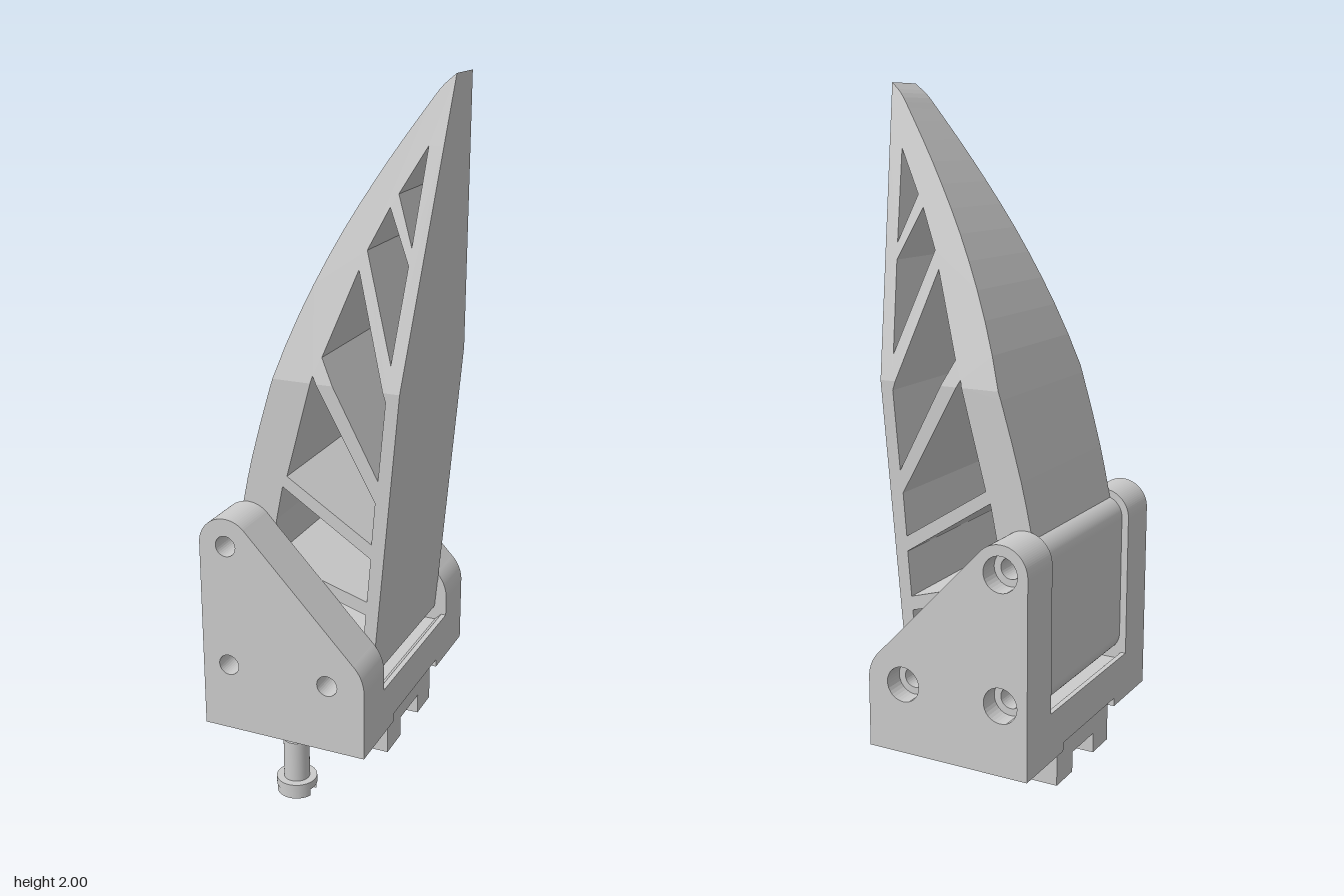
import * as THREE from 'three';
import { mergeGeometries } from 'three/addons/utils/BufferGeometryUtils.js';

const material = new THREE.MeshStandardMaterial({ color: 0xcccccc });
const PINS = [[-0.22, 0.765], [-0.22, 0.405], [0.08, 0.405]];
const KNEE = 1.21; // height where the finger starts to taper

const toShape = (pts) => new THREE.Shape(pts.map(([x, y]) => new THREE.Vector2(x, y)));

function addPins(shape, r) {
  for (const [x, y] of PINS) shape.holes.push(new THREE.Path().absarc(x, y, r, 0, Math.PI * 2, true));
  return shape;
}

// extrude a shape between two z values
function slab(shape, z0, z1) {
  const g = new THREE.ExtrudeGeometry(shape, { depth: z1 - z0, bevelEnabled: false, curveSegments: 16 });
  return g.translate(0, 0, z0);
}

function mesh(name, geometry, parent) {
  const m = new THREE.Mesh(geometry, material);
  m.name = name;
  parent.add(m);
  return m;
}

// keep the part of a polygon above (side 1) or below (side -1) the knee
function clip(pts, side) {
  const out = [];
  pts.forEach((a, i) => {
    const b = pts[(i + 1) % pts.length];
    const da = (a[1] - KNEE) * side, db = (b[1] - KNEE) * side;
    if (da >= 0) out.push(a);
    if (da * db < 0) {
      const t = da / (da - db);
      out.push([a[0] + (b[0] - a[0]) * t, KNEE]);
    }
  });
  return out;
}

// extrude across the finger width, narrowing above the knee
function tapered(shape) {
  const g = slab(shape, -1, 1), p = g.attributes.position;
  for (let i = 0; i < p.count; i++) {
    const half = 0.249 - 0.189 * Math.max(0, (p.getY(i) - KNEE) / (2 - KNEE));
    p.setZ(i, p.getZ(i) * half);
  }
  g.computeVertexNormals();
  return g;
}

function fingerGeometry() {
  const backCurve = new THREE.CatmullRomCurve3(
    [[-0.245, 0.8], [-0.204, 0.984], [-0.098, 1.328], [0.008, 1.566], [0.124, 1.767], [0.23, 1.926], [0.262, 1.97], [0.295, 2]]
      .map(([x, y]) => new THREE.Vector3(x, y, 0)));
  const back = backCurve.getPoints(22).map((p) => [p.x, p.y]);
  // inner edges of the two walls; consecutive pairs are strut ends
  const spineIn = [[0.24, 1.825], [0.172, 1.704], [0.152, 1.67], [0.1, 1.56], [0.082, 1.51], [0, 1.28],
    [-0.022, 1.23], [-0.1, 0.937], [-0.114, 0.905], [-0.145, 0.69], [-0.15, 0.65]];
  const frontIn = [[0.24, 1.825], [0.221, 1.575], [0.217, 1.53], [0.195, 1.28], [0.188, 1.185], [0.168, 0.963],
    [0.16, 0.9], [0.15, 0.778], [0.148, 0.735], [0.137, 0.605], [0.134, 0.565], [0.125, 0.46]];

  const polygons = [
    [...back, [0.28, 1.825], ...spineIn.slice(0, 9), [-0.135, 0.8]], // curved spine and tip
    [[0.28, 1.825], ...frontIn, [0.162, 0.46]], // flat front wall
  ];
  for (let i = 1; i < 10; i += 2) polygons.push([spineIn[i], spineIn[i + 1], frontIn[i + 1], frontIn[i]]); // struts

  const parts = [];
  for (const poly of polygons) {
    for (const side of [1, -1]) {
      const piece = clip(poly, side);
      if (piece.length > 2) parts.push(tapered(toShape(piece)));
    }
  }

  // foot with the three pin holes
  const foot = new THREE.Shape();
  foot.moveTo(-0.28, 0.405);
  foot.lineTo(-0.28, 0.765);
  foot.absarc(-0.22, 0.765, 0.06, Math.PI, Math.PI / 2, true);
  foot.lineTo(-0.133, 0.815);
  foot.lineTo(-0.145, 0.69);
  foot.lineTo(-0.155, 0.47);
  foot.lineTo(0.126, 0.47);
  foot.lineTo(0.162, 0.47);
  foot.lineTo(0.153, 0.37);
  foot.lineTo(0.13, 0.345);
  foot.lineTo(-0.22, 0.345);
  foot.absarc(-0.22, 0.405, 0.06, -Math.PI / 2, -Math.PI, true);
  parts.push(tapered(addPins(foot, 0.03)));
  return mergeGeometries(parts);
}

// side plate outline with rounded top and front corners
function plateShape(holeRadius) {
  const s = new THREE.Shape();
  s.moveTo(-0.3, 0.205);
  s.lineTo(0.19, 0.205);
  s.lineTo(0.19, 0.405);
  s.absarc(0.08, 0.405, 0.11, 0, 0.8, false);
  s.absarc(-0.22, 0.765, 0.08, 0.8, Math.PI, false);
  return addPins(s, holeRadius);
}

// cross-section in (z, y), extruded along x
const alongX = (pts, x0, x1) => slab(toShape(pts.map(([z, y]) => [-z, y])), x0, x1).rotateY(Math.PI / 2);

function createScrew() {
  const screw = new THREE.Group();
  screw.name = 'screw';
  const cyl = (name, r, y0, y1) =>
    mesh(name, new THREE.CylinderGeometry(r, r, y1 - y0, 32), screw).position.set(0, (y0 + y1) / 2, 0);
  cyl('screwNeck', 0.028, 0.165, 0.21);
  cyl('screwShank', 0.037, 0.04, 0.168);
  cyl('screwHead', 0.058, 0.022, 0.045);
  // two half-moons leave the driver slot
  const a = Math.asin(0.02 / 0.056);
  for (const turn of [0, Math.PI]) {
    const moon = new THREE.Shape().absarc(0, 0, 0.056, a, Math.PI - a, false);
    mesh('screwHeadLip', slab(moon, -0.022, 0).rotateX(Math.PI / 2).rotateY(turn), screw);
  }
  screw.position.set(-0.055, 0, 0.307);
  return screw;
}

export function createModel() {
  const model = new THREE.Group();
  model.name = 'gripperFinger';

  mesh('finger', fingerGeometry(), model);

  // bracket: front plate, and back plate with counterbores
  const bracket = new THREE.Group();
  bracket.name = 'bracket';
  model.add(bracket);
  mesh('frontPlate', slab(plateShape(0.03), 0.25, 0.39), bracket);
  mesh('backPlateInner', slab(plateShape(0.03), -0.33, -0.25), bracket);
  mesh('backPlateOuter', slab(plateShape(0.05), -0.39, -0.33), bracket);

  // floor joining the plates, grooved underneath for the rail
  mesh('bracketFloor', alongX([[-0.25, 0.205], [-0.172, 0.205], [-0.172, 0.23], [0.172, 0.23], [0.172, 0.205],
    [0.25, 0.205], [0.25, 0.325], [-0.25, 0.325]], -0.3, 0.19), bracket);
  // low lips along both edges of the floor
  mesh('floorLip', slab(toShape([[0.19, 0.325], [0.19, 0.345], [0.175, 0.345], [0.155, 0.325]]), -0.25, 0.25), bracket);
  mesh('floorLip', slab(toShape([[-0.3, 0.325], [-0.265, 0.325], [-0.285, 0.345], [-0.3, 0.345]]), -0.25, 0.25), bracket);

  // mounting rail with a channel below
  mesh('mountingRail', alongX([[-0.17, 0.095], [-0.07, 0.095], [-0.07, 0.155], [0.07, 0.155], [0.07, 0.095],
    [0.17, 0.095], [0.17, 0.23], [-0.17, 0.23]], -0.28, 0.17), model);

  model.add(createScrew());
  return model;
}
